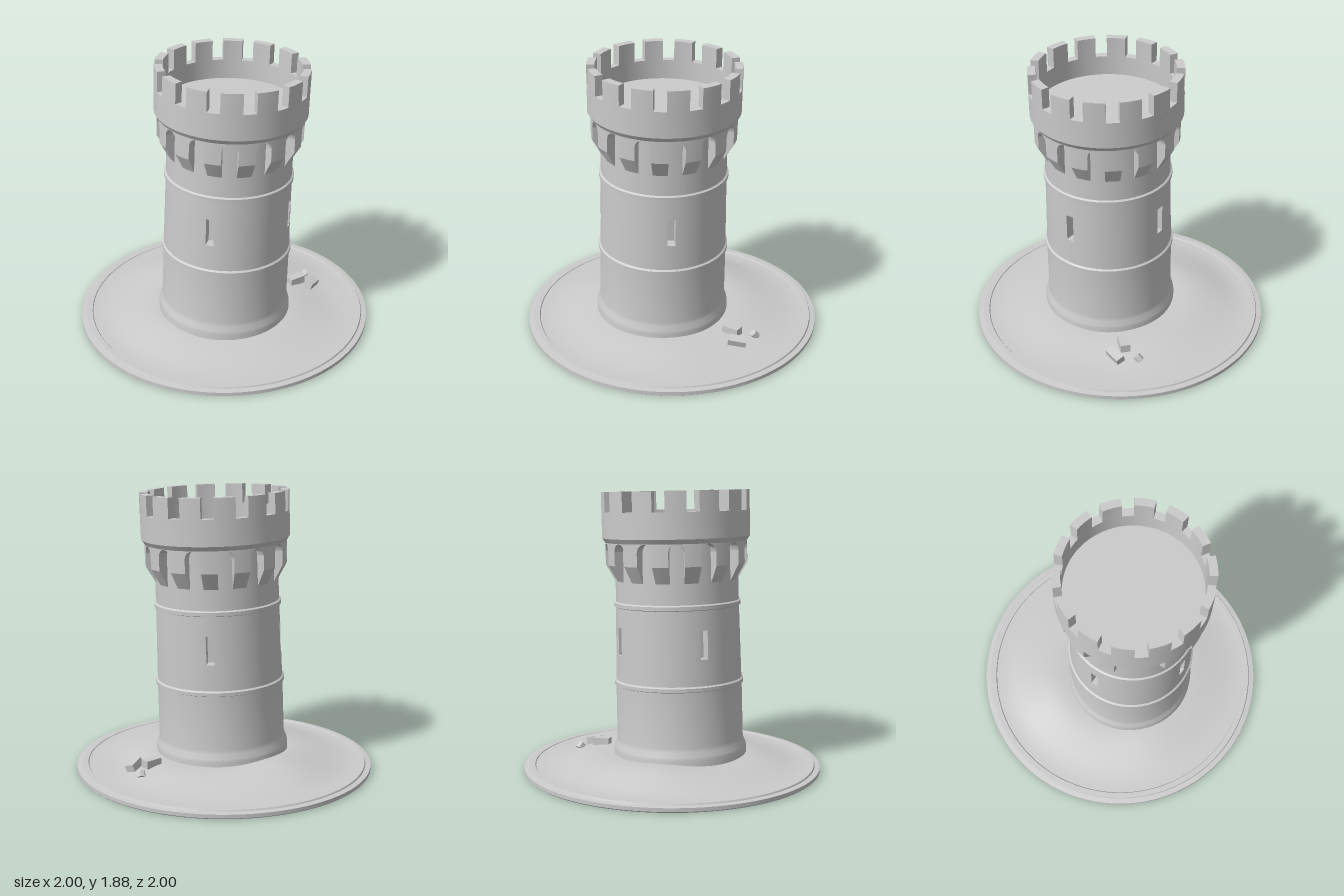
import * as THREE from 'three';
import { toCreasedNormals } from 'three/addons/utils/BufferGeometryUtils.js';

const stone = new THREE.MeshStandardMaterial({ color: 0xcccccc });
const hollow = new THREE.MeshStandardMaterial({ color: 0xcccccc, side: THREE.BackSide });
const DEG = Math.PI / 180;
const COUNT = 14, STEP = 360 / COUNT, PHASE = -8;

function add(parent, name, geometry, material = stone) {
  const mesh = new THREE.Mesh(geometry, material);
  mesh.name = name;
  parent.add(mesh);
  return mesh;
}

function lathe(points, segments = 96) {
  const g = new THREE.LatheGeometry(points.map(([r, y]) => new THREE.Vector2(r, y)), segments);
  return toCreasedNormals(g, 0.35);
}

// Box bent round the tower axis; angles in degrees, measured from +z towards +x.
// outer(y) gives the outer radius, bottom(t) the lower edge for t in -1..1.
function bentBox(angle, width, bottom, top, inner, outer, nx = 4, ny = 1) {
  const g = new THREE.BoxGeometry(2, 1, 1, nx, ny, 1);
  const p = g.attributes.position;
  for (let i = 0; i < p.count; i++) {
    const t = p.getX(i);
    const y = THREE.MathUtils.lerp(bottom(t), top, p.getY(i) + 0.5);
    const r = p.getZ(i) > 0 ? outer(y) : inner;
    const a = (angle + t * width / 2) * DEG;
    p.setXYZ(i, r * Math.sin(a), y, r * Math.cos(a));
  }
  return toCreasedNormals(g, 0.4);
}

// Ground height: a low mound with a few soft swells
function groundHeight(x, z) {
  const r = Math.hypot(x, z);
  const swell = (cx, cz, s) => Math.exp(-((x - cx) ** 2 + (z - cz) ** 2) / (s * s));
  const mound = 0.055 * (1 - THREE.MathUtils.smoothstep(r, 0.45, 0.9));
  const fade = 1 - THREE.MathUtils.smoothstep(r, 0.7, 0.92);
  return 0.042 + mound + fade * (0.03 * swell(-0.05, -0.5, 0.28) + 0.012 * swell(-0.55, 0.1, 0.25)
    - 0.015 * swell(0.6, 0.3, 0.25));
}

function buildGround(parent) {
  add(parent, 'groundRim', lathe([[0, 0], [0.99, 0], [1, 0.008], [1, 0.032], [0.965, 0.036],
    [0.96, 0.046], [0.925, 0.046], [0.918, 0.036], [0.9, 0.036]]));
  const pts = [];
  for (let i = 0; i <= 30; i++) pts.push(new THREE.Vector2(0.92 * (1 - i / 30), 0));
  const g = new THREE.LatheGeometry(pts, 96);
  const p = g.attributes.position;
  for (let i = 0; i < p.count; i++) p.setY(i, groundHeight(p.getX(i), p.getZ(i)));
  g.computeVertexNormals();
  add(parent, 'mound', g);
}

// Middle storey, pierced by four slit windows
function buildWindowStorey(parent) {
  const y0 = 0.6, y1 = 1.12, w0 = 0.785, w1 = 0.97, half = 3.6 * DEG;
  const R = y => THREE.MathUtils.mapLinear(y, y0, y1, 0.424, 0.413);
  const panel = (name, a, len, lo, hi, seg) => {
    const g = new THREE.CylinderGeometry(R(hi), R(lo), hi - lo, seg, 1, true, a, len);
    add(parent, name, g.translate(0, (lo + hi) / 2, 0));
  };
  for (let i = 0; i < 4; i++) {
    const a = (41 + 90 * i) * DEG;
    panel('storeyWall', a + half, Math.PI / 2 - 2 * half, y0, y1, 24);
    panel('wallBelowWindow', a - half, 2 * half, y0, w0, 1);
    panel('wallAboveWindow', a - half, 2 * half, w1, y1, 1);
    const r = R((w0 + w1) / 2), depth = 0.07;
    const niche = new THREE.BoxGeometry(2 * r * Math.sin(half), w1 - w0, depth);
    niche.translate(0, (w0 + w1) / 2, r * Math.cos(half) - depth / 2).rotateY(a);
    add(parent, 'slitWindow', niche, hollow);
  }
}

function buildTower(parent) {
  add(parent, 'plinthAndLowerWall', lathe([[0.45, 0.02], [0.45, 0.135], [0.446, 0.155], [0.432, 0.185],
    [0.428, 0.21], [0.425, 0.575], [0.436, 0.58], [0.436, 0.603], [0.424, 0.612]]));
  buildWindowStorey(parent);
  add(parent, 'upperWall', lathe([[0.413, 1.1], [0.425, 1.105], [0.425, 1.13], [0.413, 1.138], [0.408, 1.54]]));

  // Corbels with round-headed recesses between them
  const flare = y => y < 1.385 ? THREE.MathUtils.mapLinear(y, 1.275, 1.385, 0.411, 0.473) : 0.473;
  const recess = 12.8, rise = 0.053;
  for (let i = 0; i < COUNT; i++) {
    const a = PHASE + i * STEP;
    const mid = a + STEP / 2, pier = STEP - recess;
    add(parent, 'corbelFoot', bentBox(mid, pier, () => 1.275, 1.385, 0.395, flare));
    add(parent, 'corbel', bentBox(mid, pier, () => 1.385, 1.54, 0.395, flare));
    const arch = t => 1.475 + rise * Math.sqrt(Math.max(0, 1 - t * t));
    add(parent, 'recessArch', bentBox(a, recess, arch, 1.54, 0.395, flare, 16));
    add(parent, 'merlon', bentBox(a, 16, () => 1.72, 1.862, 0.44, () => 0.493));
  }

  // Parapet ring and roof deck
  add(parent, 'parapetAndDeck', lathe([[0.4, 1.53], [0.473, 1.53], [0.493, 1.56], [0.493, 1.73],
    [0.44, 1.73], [0.44, 1.6], [0, 1.6]]));
}

// Fallen stones beside the tower
function buildRubble(parent) {
  const a = add(parent, 'fallenBlock', new THREE.BoxGeometry(0.115, 0.055, 0.065));
  a.position.set(0.55, 0.103, 0.103);
  const b = add(parent, 'tiltedBlock', new THREE.BoxGeometry(0.12, 0.05, 0.06));
  b.position.set(0.635, 0.085, 0.18);
  b.rotation.set(0.3, 0.4, -0.25);
  const c = add(parent, 'smallStone', new THREE.CylinderGeometry(0.025, 0.028, 0.045, 6).toNonIndexed());
  c.geometry.computeVertexNormals();
  c.position.set(0.685, 0.075, 0.035);
  c.rotation.set(0.5, 0.3, 0.4);
}

export function createModel() {
  const model = new THREE.Group();
  model.name = 'castleTower';
  const ground = new THREE.Group();
  ground.name = 'ground';
  buildGround(ground);

  // The tower leans slightly
  const tower = new THREE.Group();
  tower.name = 'tower';
  buildTower(tower);
  tower.position.set(-0.043, 0, 0.062);
  tower.rotation.set(0.015, 0, -0.027);

  const rubble = new THREE.Group();
  rubble.name = 'rubble';
  buildRubble(rubble);
  model.add(ground, tower, rubble);
  return model;
}
